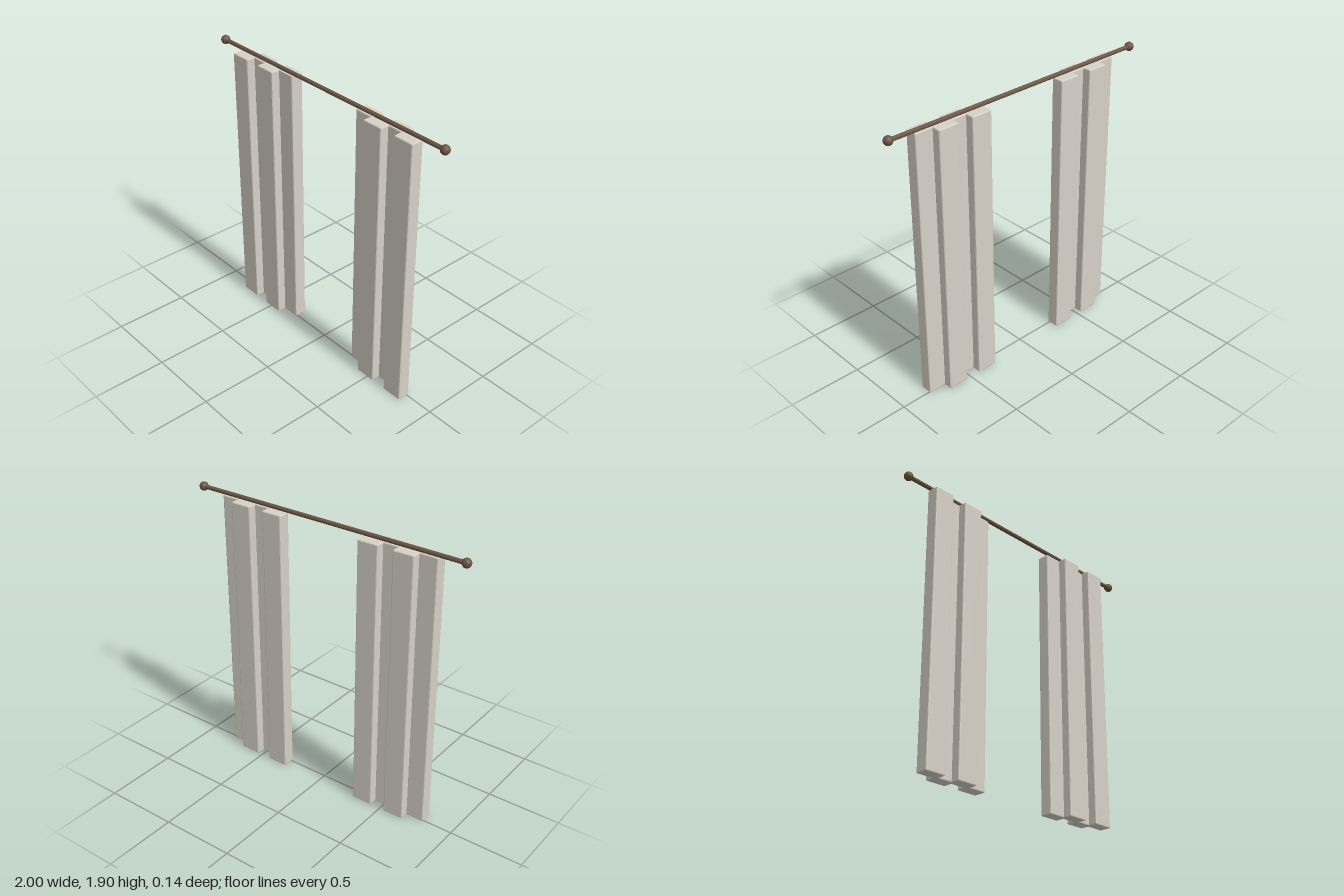
import * as THREE from 'three';
import { RoundedBoxGeometry } from 'three/addons/geometries/RoundedBoxGeometry.js';

const ROD_Y = 1.867;
const FOLD = { width: 0.143, height: 1.852, depth: 0.083, bevel: 0.007 };

export function createModel() {
  const group = new THREE.Group();
  const fabric = new THREE.MeshStandardMaterial({ color: 0xd6d1c7, flatShading: true });
  const wood = new THREE.MeshStandardMaterial({ color: 0x6b5544, flatShading: true });

  const add = (parent, name, geometry, material, x, y, z) => {
    const mesh = new THREE.Mesh(geometry, material);
    mesh.name = name;
    mesh.position.set(x, y, z);
    parent.add(mesh);
    return mesh;
  };

  // Curtain rod with a ball finial at each end
  const rod = add(group, 'curtainRod', new THREE.CylinderGeometry(0.014, 0.014, 1.94, 10), wood, 0, ROD_Y, 0);
  rod.rotation.z = Math.PI / 2;
  const ball = new THREE.SphereGeometry(0.03, 12, 8);

  // Each curtain is four overlapping folds, alternating front and back
  const fold = new RoundedBoxGeometry(FOLD.width, FOLD.height, FOLD.depth, 1, FOLD.bevel);
  for (const [side, label] of [[1, 'left'], [-1, 'right']]) {
    add(group, label + 'Finial', ball, wood, side * 0.97, ROD_Y, 0);

    const curtain = new THREE.Group();
    curtain.name = label + 'Curtain';
    for (let i = 0; i < 4; i++) {
      const x = side * (0.725 - i * 0.1223);
      const z = i % 2 === 0 ? 0.029 : -0.029;
      add(curtain, 'fold' + (i + 1), fold, fabric, x, FOLD.height / 2, z);
    }
    group.add(curtain);
  }
  return group;
}
